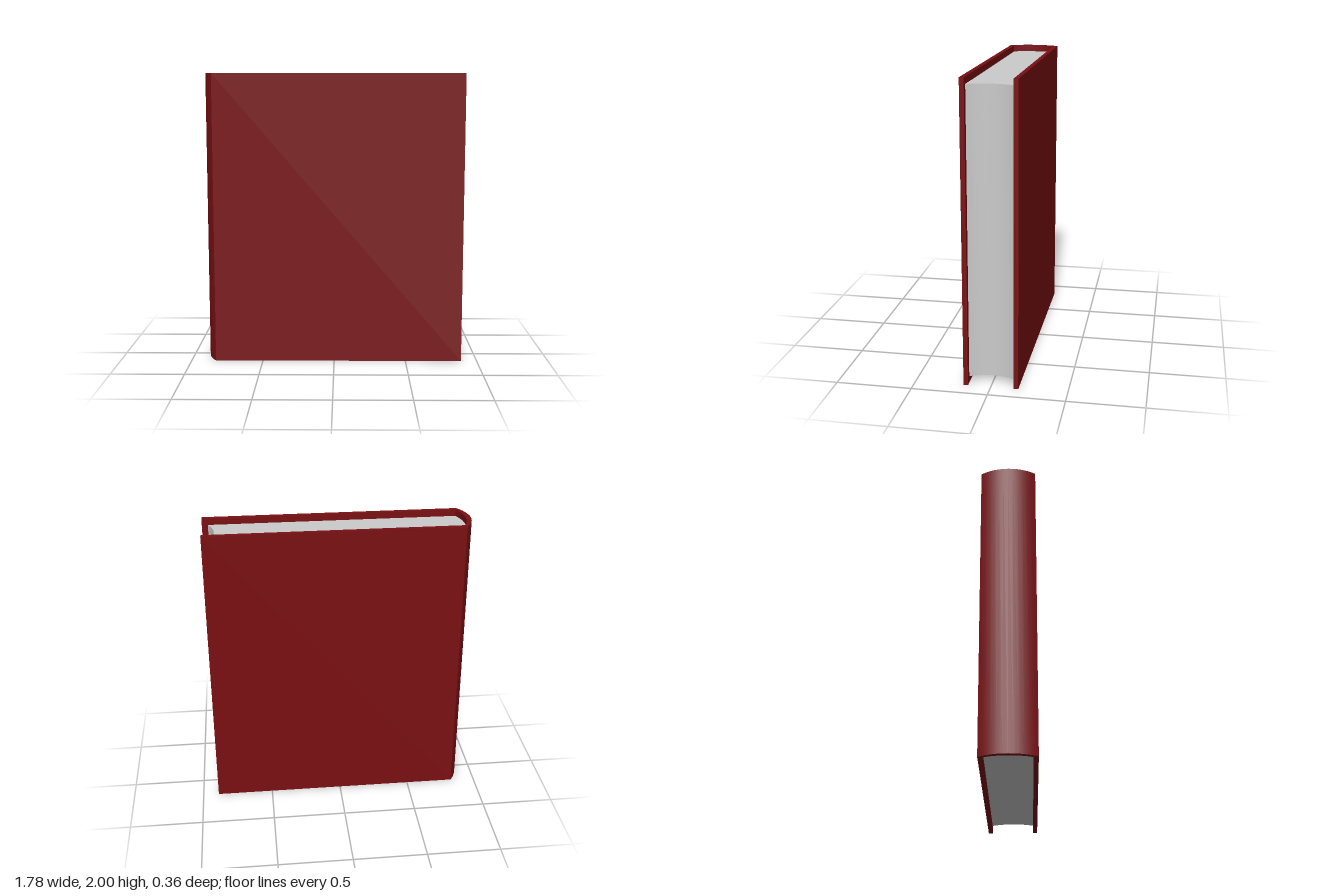
import * as THREE from 'three';
import { toCreasedNormals } from 'three/addons/utils/BufferGeometryUtils.js';

// Points of a shallow arc from (edgeX, -half) to (edgeX, half), reaching midX in the middle
function bow(edgeX, midX, half, segments = 12) {
  const depth = edgeX - midX;
  const radius = (half * half + depth * depth) / (2 * depth);
  const span = Math.asin(half / radius);
  const points = [];
  for (let i = 0; i <= segments; i++) {
    const a = span * (2 * i / segments - 1);
    points.push(new THREE.Vector2(midX + radius * (1 - Math.cos(a)), radius * Math.sin(a)));
  }
  return points;
}

// Extrudes a plan outline upwards from y = bottom to y = top
function upright(name, outline, bottom, top, color) {
  let geometry = new THREE.ExtrudeGeometry(new THREE.Shape(outline), {
    depth: top - bottom, bevelEnabled: false,
  });
  geometry.rotateX(-Math.PI / 2);
  geometry.translate(0, bottom, 0);
  geometry = toCreasedNormals(geometry, Math.PI / 6);
  const mesh = new THREE.Mesh(geometry, new THREE.MeshStandardMaterial({ color }));
  mesh.name = name;
  return mesh;
}

export function createModel() {
  const book = new THREE.Group();
  book.name = 'book';

  const outer = 0.18, inner = 0.15, edge = 0.89;
  const spineInside = bow(-0.82, -0.855, inner);

  // Cover: two boards joined by a rounded spine, open at the fore edge
  const coverOutline = [
    new THREE.Vector2(edge, -outer),
    new THREE.Vector2(edge, -inner),
    ...spineInside,
    new THREE.Vector2(edge, inner),
    new THREE.Vector2(edge, outer),
    ...bow(-0.83, -0.89, outer).reverse(),
  ];
  book.add(upright('cover', coverOutline, 0, 2, 0x7a0f13));

  // Page block: follows the spine and has a hollow fore edge
  const pagesOutline = [...spineInside, ...bow(0.85, 0.81, inner).reverse()];
  book.add(upright('pages', pagesOutline, 0.045, 1.955, 0xcccccc));

  return book;
}
